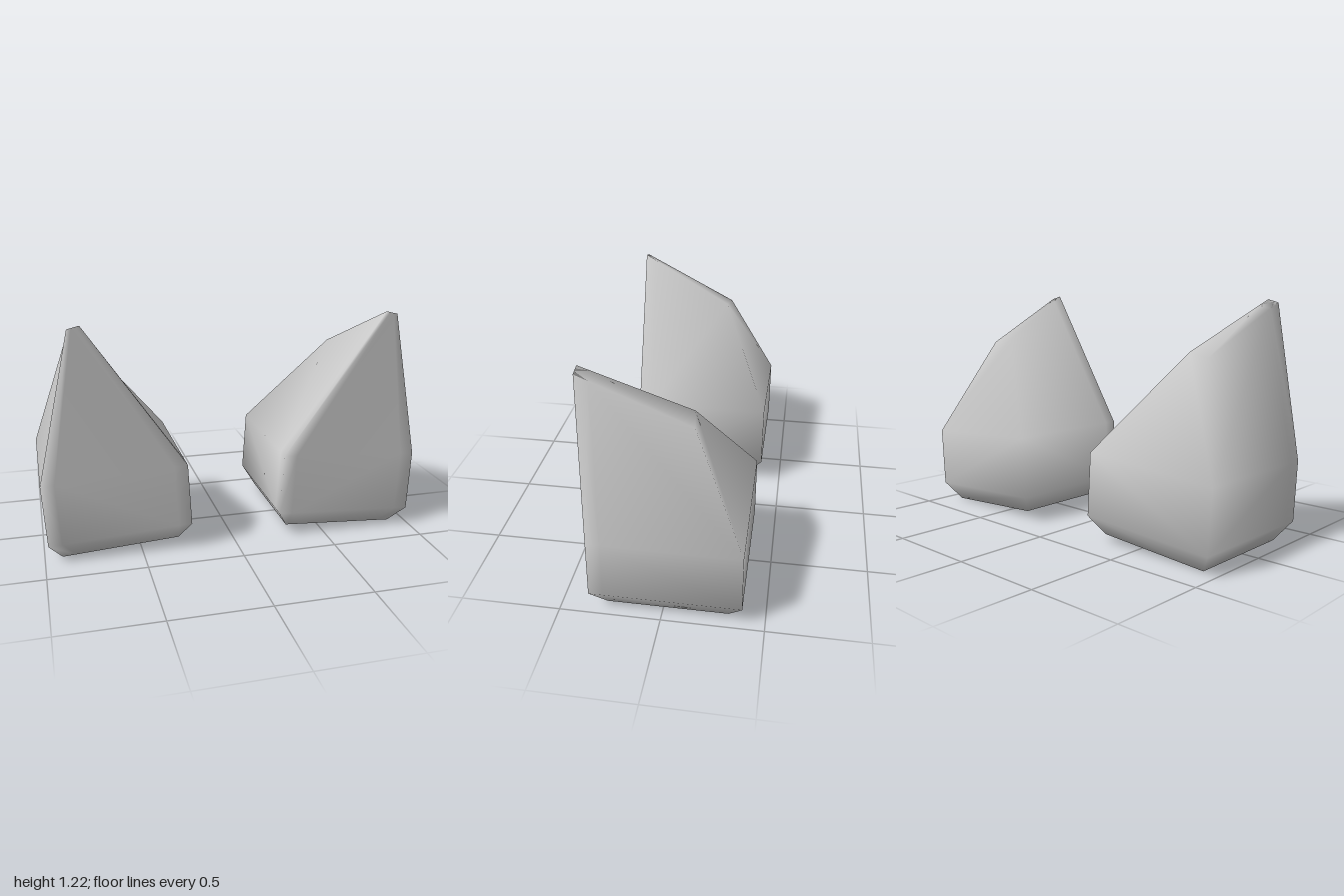
import * as THREE from 'three';

// Corner rings from the sole to the ridge: inner front, outer front, outer back, inner back
const LEVELS = [
  [[0.30, 0.04, 0.28], [0.91, 0, 0.28], [0.91, 0, -0.32], [0.30, 0.04, -0.32]],
  [[0.24, 0.14, 0.345], [0.98, 0.10, 0.355], [0.98, 0.10, -0.39], [0.24, 0.14, -0.39]],
  [[0.26, 0.47, 0.35], [1.0, 0.42, 0.345], [1.0, 0.42, -0.39], [0.26, 0.47, -0.39]],
  [[0.77, 1.22, 0.39], [0.83, 1.205, 0.39], [0.78, 0.955, -0.135], [0.66, 0.975, -0.12]],
];

// Triangles closing a ring: a strip across the front, then the large rear quad
const CAP = [[7, 0, 1], [7, 1, 2], [7, 2, 4], [2, 3, 4], [7, 4, 5], [7, 5, 6]];

// Perimeter of a level, with extra points beside the front corners to tighten their shading
function ring(corners) {
  const [fi, fo, bo, bi] = corners.map((c) => new THREE.Vector3(...c));
  const step = (a, b) => a.clone().lerp(b, Math.min(0.07 / a.distanceTo(b), 0.35));
  return [fi, step(fi, fo), step(fo, fi), fo, step(fo, bo), bo, bi, step(fi, bi)];
}

function blockGeometry(side) {
  const positions = [];
  const index = [];
  const addPoint = (p) => positions.push(p.x * side, p.y, p.z) / 3 - 1;
  const addFace = (a, b, c) => (side > 0 ? index.push(a, b, c) : index.push(a, c, b));

  // Smooth walls; both side walls are split from the front corner below to the ridge end or across
  const ids = LEVELS.map((level) => ring(level).map(addPoint));
  const n = ids[0].length;
  for (let l = 0; l < ids.length - 1; l++) {
    for (let i = 0; i < n; i++) {
      const j = (i + 1) % n;
      const [a, b, c, d] = [ids[l][i], ids[l][j], ids[l + 1][j], ids[l + 1][i]];
      if (i === 4 || i === 6) {
        addFace(a, b, d);
        addFace(b, c, d);
      } else {
        addFace(a, b, c);
        addFace(a, c, d);
      }
    }
  }

  // Sole and ridge
  for (const [a, b, c] of CAP) {
    addFace(ids[0][a], ids[0][c], ids[0][b]);
    addFace(ids[3][a], ids[3][b], ids[3][c]);
  }

  const geometry = new THREE.BufferGeometry();
  geometry.setAttribute('position', new THREE.Float32BufferAttribute(positions, 3));
  geometry.setIndex(index);
  geometry.computeVertexNormals();
  return geometry;
}

export function createModel() {
  const group = new THREE.Group();
  group.name = 'pairOfBlocks';
  const material = new THREE.MeshStandardMaterial({ color: 0xcccccc });
  // Mirrored pair
  for (const [name, side] of [['leftBlock', 1], ['rightBlock', -1]]) {
    const mesh = new THREE.Mesh(blockGeometry(side), material);
    mesh.name = name;
    group.add(mesh);
  }
  return group;
}
